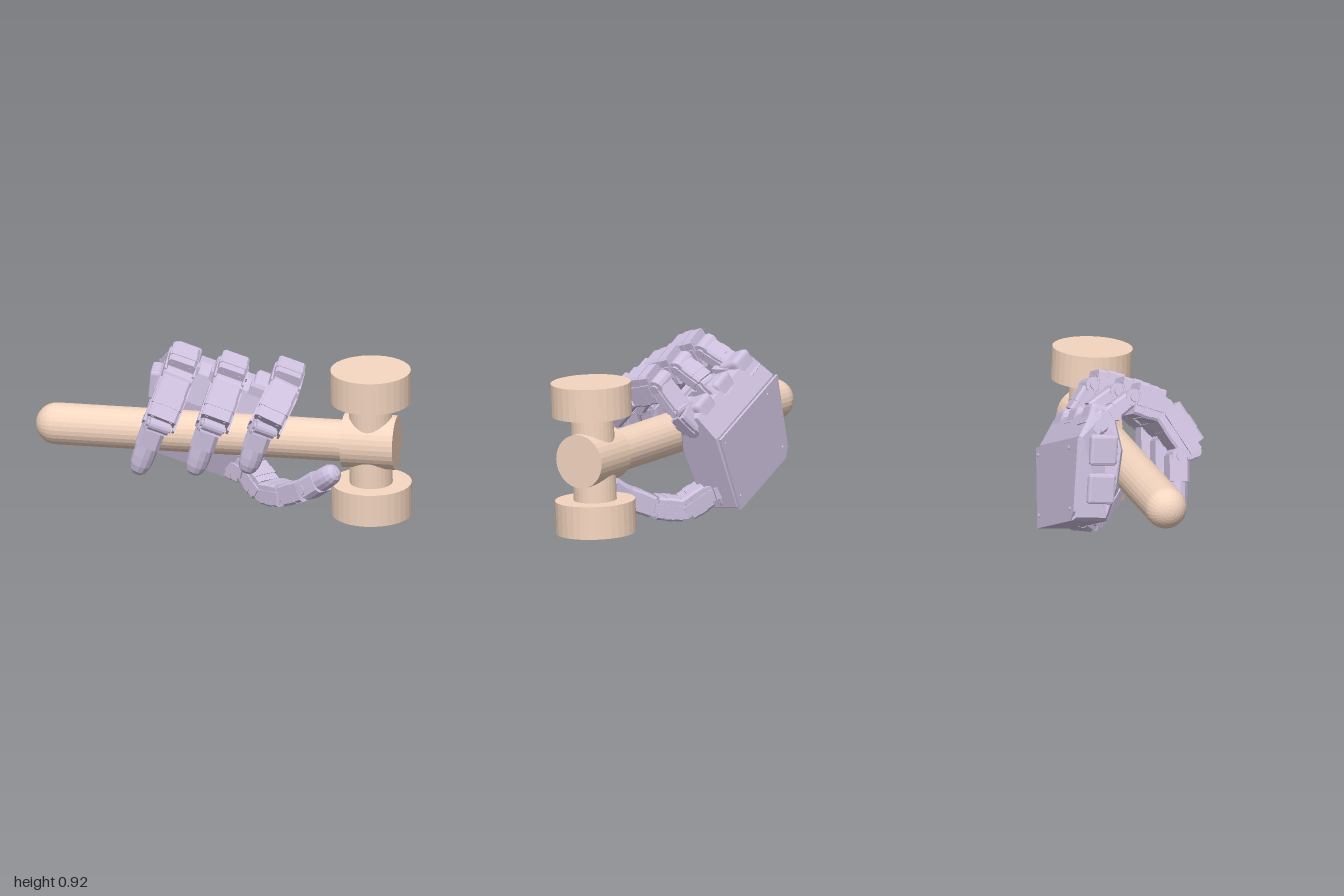
import * as THREE from 'three';
import { RoundedBoxGeometry } from 'three/addons/geometries/RoundedBoxGeometry.js';

const V = (a) => new THREE.Vector3(...a);
const tan = new THREE.MeshStandardMaterial({ color: 0xf5d6c0, flatShading: true });
const lilac = new THREE.MeshStandardMaterial({ color: 0xcfc2e0, flatShading: true });

function add(parent, name, geometry, material, pos = [0, 0, 0], rot = [0, 0, 0]) {
  const mesh = new THREE.Mesh(geometry, material);
  mesh.name = name;
  mesh.position.set(...pos);
  mesh.rotation.set(...rot);
  parent.add(mesh);
  return mesh;
}

// Group at p whose y axis runs along dir and whose x axis stays close to side
function frame(name, p, dir, side) {
  const y = dir.clone().normalize();
  const z = side.clone().cross(y).normalize();
  const x = y.clone().cross(z);
  const g = new THREE.Group();
  g.name = name;
  g.position.copy(p);
  g.quaternion.setFromRotationMatrix(new THREE.Matrix4().makeBasis(x, y, z));
  return g;
}

// Block with an eight-sided section, running along y from 0 to len
function chamferBlock(w, d, len, c) {
  const a = w / 2, b = d / 2;
  const s = new THREE.Shape([[-a + c, -b], [a - c, -b], [a, -b + c], [a, b - c],
    [a - c, b], [-a + c, b], [-a, b - c], [-a, -b + c]].map((q) => new THREE.Vector2(...q)));
  const g = new THREE.ExtrudeGeometry(s, { depth: len, bevelEnabled: false });
  return g.rotateX(-Math.PI / 2);
}

// Hinge: a drum with a cap on either side, lying along x
function hinge(parent, y, r, w) {
  add(parent, 'hingeDrum', new THREE.CylinderGeometry(r, r, w, 14), lilac, [0, y, 0], [0, 0, Math.PI / 2]);
  for (const s of [-1, 1]) {
    add(parent, 'hingeCap', new THREE.CylinderGeometry(r * 0.55, r * 0.55, 0.014, 10), lilac,
      [s * (w / 2 + 0.005), y, 0], [0, 0, Math.PI / 2]);
  }
}

// Motor link from p to q: case, band, side plates, hinge and screws
function link(parent, p, q, side, w, d) {
  const dir = q.clone().sub(p), len = dir.length();
  const g = frame('link', p, dir, side);
  parent.add(g);
  add(g, 'motorCase', chamferBlock(w * 0.92, d * 0.96, len * 0.82, 0.012), lilac, [0, len * 0.07, 0]);
  add(g, 'caseBand', chamferBlock(w * 0.96, d, len * 0.28, 0.012), lilac, [0, len * 0.36, 0]);
  for (const s of [-1, 1]) {
    add(g, 'sidePlate', new THREE.BoxGeometry(0.012, len * 0.9, d * 0.4), lilac, [s * w * 0.48, len * 0.56, 0]);
    for (const t of [-1, 0, 1]) {
      add(g, 'screw', new THREE.CylinderGeometry(0.009, 0.009, len * 0.85, 6), lilac,
        [s * w * 0.3, len * 0.48, t * d * 0.33]);
    }
  }
  hinge(g, 0, Math.min(d * 0.36, 0.045), w * 0.8);
}

// Rounded, blunt fingertip from p to q
function fingertip(parent, p, q, side, w, d) {
  const dir = q.clone().sub(p), len = dir.length();
  const g = frame('fingertip', p, dir, side);
  parent.add(g);
  const profile = [[0, 0], [0.9, 0], [1, 0.12], [1, 0.64], [0.94, 0.8], [0.76, 0.92], [0.45, 0.985], [0, 1]]
    .map(([r, t]) => new THREE.Vector2(r, t * len));
  add(g, 'tipPad', new THREE.LatheGeometry(profile, 12).scale(w / 2, 1, d / 2), lilac);
  add(g, 'tipMount', chamferBlock(w * 1.08, d, len * 0.45, 0.02), lilac, [0, -len * 0.02, 0]);
  hinge(g, 0, d * 0.42, w);
}

// A digit through its joints; sizes give [width, depth] of each segment
function digit(parent, name, joints, sizes, side) {
  const g = new THREE.Group();
  g.name = name;
  parent.add(g);
  const pts = joints.map(V);
  sizes.forEach(([w, d], i) => {
    const build = i === sizes.length - 1 ? fingertip : link;
    build(g, pts[i], pts[i + 1], side, w, d);
  });
}

function buildHammer() {
  const g = new THREE.Group();
  g.name = 'hammer';
  g.position.set(0, 0.432, 0.05);
  g.rotation.x = 0.045;
  // Handle with a domed end
  const profile = [new THREE.Vector2(0, -1)];
  for (let i = 1; i <= 8; i++) {
    const a = (i / 8) * Math.PI / 2;
    profile.push(new THREE.Vector2(0.11 * Math.sin(a), -0.89 - 0.11 * Math.cos(a)));
  }
  profile.push(new THREE.Vector2(0.11, 0.7));
  add(g, 'handle', new THREE.LatheGeometry(profile, 28), tan, [0, -0.008, -0.006], [0, 0, -Math.PI / 2]);
  add(g, 'collar', new THREE.CylinderGeometry(0.143, 0.143, 0.28, 32), tan, [0.782, 0, 0], [0, 0, Math.PI / 2]);
  add(g, 'neck', new THREE.CylinderGeometry(0.113, 0.113, 0.5, 28), tan, [0.783, 0, 0]);
  for (const s of [-1, 1]) {
    add(g, 'strikingHead', new THREE.CylinderGeometry(0.211, 0.211, 0.174, 32), tan, [0.785, s * 0.313, 0]);
  }
  return g;
}

// Widens the outer (-x) side of the palm towards the knuckles
function flare(x, y) {
  const t = y < 0.17 ? (y + 0.285) / 0.455 : 1 - (y - 0.17) / 0.3;
  return x < 0 ? x - 0.11 * t : x;
}

function buildPalm(side) {
  const g = frame('palm', V([-0.08, 0.42, -0.225]), V([0.34, 0.94, 0.07]), side);
  // Side outline (z, y) drawn across the width
  const outline = [[-0.13, -0.285], [0.06, -0.285], [0.11, -0.12], [0.125, 0.08],
    [0.09, 0.24], [0.03, 0.285], [-0.04, 0.285], [-0.12, 0.15]];
  const shape = new THREE.Shape(outline.map(([z, y]) => new THREE.Vector2(-z, y)));
  const body = new THREE.ExtrudeGeometry(shape, { depth: 0.53, bevelSize: 0.015, bevelThickness: 0.02,
    bevelOffset: -0.015, bevelSegments: 1 }).translate(0, 0, -0.265).rotateY(Math.PI / 2);
  const pos = body.attributes.position;
  for (let i = 0; i < pos.count; i++) pos.setX(i, flare(pos.getX(i), pos.getY(i)));
  add(g, 'palmBody', body, lilac);
  // Flat cover on the back of the hand
  const plate = new THREE.Shape([[-0.25, -0.285], [0.285, -0.285], [0.285, 0.14], [-0.39, 0.14], [-0.3, -0.24]]
    .map((q) => new THREE.Vector2(...q)));
  add(g, 'backPlate', new THREE.ExtrudeGeometry(plate, { depth: 0.014, bevelEnabled: false }), lilac, [0, 0, -0.135]);
  for (const x of [-0.25, 0.25]) for (const y of [-0.22, 0.1]) {
    add(g, 'plateScrew', new THREE.CylinderGeometry(0.01, 0.01, 0.01, 6), lilac, [x, y, -0.137], [Math.PI / 2, 0, 0]);
  }
  // Knuckle housings along the top edge
  for (const x of [-0.27, -0.04, 0.18]) {
    add(g, 'knuckleHousing', new RoundedBoxGeometry(0.15, 0.14, 0.13, 2, 0.025), lilac, [x, 0.25, 0.01], [0.3, 0, 0]);
    add(g, 'knuckleBracket', new THREE.BoxGeometry(0.17, 0.05, 0.1), lilac, [x, 0.265, 0.07]);
  }
  // Motor cases on the outer side
  for (const y of [-0.12, 0.08]) {
    add(g, 'sideMotor', new RoundedBoxGeometry(0.06, 0.16, 0.15, 1, 0.015), lilac,
      [flare(-0.285, y), y, 0.01], [0, 0, 0.24]);
  }
  return g;
}

export function createModel() {
  const model = new THREE.Group();
  model.name = 'robotHandWithHammer';
  model.add(buildHammer());

  const hand = new THREE.Group();
  hand.name = 'hand';
  model.add(hand);
  const across = V([0.94, -0.34, -0.1]);
  hand.add(buildPalm(across));

  // Three fingers curling over the handle
  const sizes = [[0.15, 0.11], [0.13, 0.09], [0.16, 0.18], [0.17, 0.17], [0.14, 0.09], [0.12, 0.11]];
  const fingers = {
    outerFinger: [[-0.3, 0.69, -0.24], [-0.26, 0.75, -0.13], [-0.22, 0.835, 0.02], [-0.22, 0.77, 0.19],
      [-0.295, 0.54, 0.33], [-0.325, 0.53, 0.245], [-0.43, 0.235, 0.22]],
    middleFinger: [[-0.02, 0.62, -0.24], [0.02, 0.71, -0.14], [0.04, 0.795, 0.0], [0.04, 0.735, 0.17],
      [-0.01, 0.55, 0.315], [-0.04, 0.53, 0.24], [-0.13, 0.25, 0.22]],
    innerFinger: [[0.22, 0.53, -0.21], [0.29, 0.62, -0.16], [0.325, 0.755, -0.06], [0.33, 0.71, 0.11],
      [0.26, 0.54, 0.28], [0.235, 0.53, 0.23], [0.15, 0.275, 0.215]],
  };
  for (const [name, joints] of Object.entries(fingers)) digit(hand, name, joints, sizes, across);

  // Thumb passing beneath the handle
  digit(hand, 'thumb', [[-0.05, 0.2, -0.29], [0.1, 0.15, -0.21], [0.2, 0.066, -0.12], [0.33, 0.09, -0.01],
    [0.46, 0.165, 0.09], [0.625, 0.3, 0.18]],
    [[0.18, 0.16], [0.15, 0.14], [0.15, 0.125], [0.14, 0.12], [0.12, 0.12]], V([-0.6, 0, 0.8]));
  return model;
}
